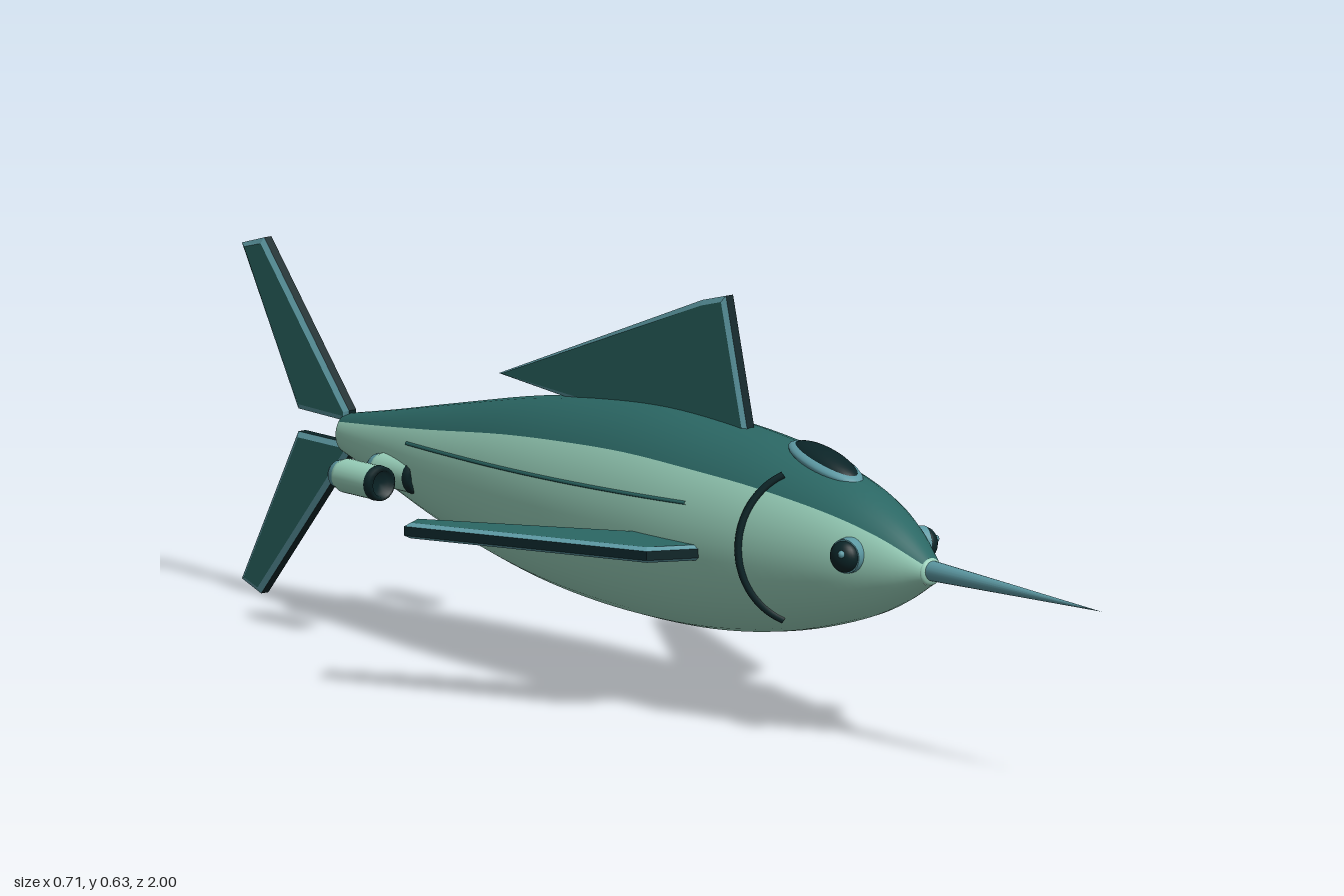
import * as THREE from 'three';

const mat = (name, color, side = THREE.FrontSide) => {
  const m = new THREE.MeshStandardMaterial({ color, side });
  m.name = name;
  return m;
};

export function createModel() {
  const root = new THREE.Group();
  root.name = 'billfishCraft';
  const teal = mat('deepTeal', 0x2b6764);
  const mint = mat('paleMint', 0x98d0ba);
  const blue = mat('steelBlue', 0x5c98a2);
  const black = mat('blackTeal', 0x0b2427);

  const add = (name, geo, material, parent = root) => {
    const m = new THREE.Mesh(geo, material);
    m.name = name;
    parent.add(m);
    return m;
  };

  // Hull stations: z, top y, bottom y, half width
  const stations = [
    [0.6, 0.299, 0.257, 0.021], [0.53, 0.348, 0.217, 0.055], [0.45, 0.384, 0.183, 0.084],
    [0.3, 0.419, 0.141, 0.114], [0.15, 0.434, 0.118, 0.128], [0, 0.438, 0.111, 0.13],
    [-0.15, 0.427, 0.116, 0.124], [-0.3, 0.406, 0.133, 0.109], [-0.5, 0.363, 0.174, 0.077],
    [-0.65, 0.329, 0.216, 0.046], [-0.76, 0.306, 0.246, 0.025],
  ];
  const topCurve = new THREE.CatmullRomCurve3(stations.map(s => new THREE.Vector3(s[3], s[1], s[0])));
  const lowCurve = new THREE.CatmullRomCurve3(stations.map(s => new THREE.Vector3(s[3], s[2], s[0])));
  const section = t => {
    const a = topCurve.getPoint(t), b = lowCurve.getPoint(t);
    return { z: a.z, w: a.x, y: (a.y + b.y) / 2, h: (a.y - b.y) / 2 };
  };
  // Point on the hull skin at a given z and angle
  const skin = (z, angle, lift = 0) => {
    let lo = 0, hi = 1;
    for (let i = 0; i < 24; i++) {
      const mid = (lo + hi) / 2;
      if (section(mid).z > z) lo = mid; else hi = mid;
    }
    const s = section(lo);
    return new THREE.Vector3((s.w + lift) * Math.cos(angle), s.y + (s.h + lift) * Math.sin(angle), z);
  };

  // Hull: smooth loft, dark back and pale flanks
  const rings = 50, segs = 36, pos = [], idx = [];
  for (let i = 0; i <= rings; i++) {
    const s = section(i / rings);
    for (let j = 0; j < segs; j++) {
      const a = THREE.MathUtils.degToRad(40 + j * 10);
      pos.push(s.w * Math.cos(a), s.y + s.h * Math.sin(a), s.z);
    }
  }
  for (let j = 0; j < segs; j++) {
    const k = (j + 1) % segs;
    for (let i = 0; i < rings; i++) {
      const r = i * segs, q = r + segs;
      idx.push(r + j, q + j, r + k, r + k, q + j, q + k);
    }
  }
  const hull = new THREE.BufferGeometry();
  hull.setAttribute('position', new THREE.Float32BufferAttribute(pos, 3));
  hull.setIndex(idx);
  hull.addGroup(0, 10 * rings * 6, 0);
  hull.addGroup(10 * rings * 6, 26 * rings * 6, 1);
  hull.computeVertexNormals();
  add('hull', hull, [teal, mint]);
  const tailCap = add('tailCap', new THREE.CircleGeometry(1, 36), mint);
  tailCap.scale.set(0.025, 0.03, 1);
  tailCap.rotation.y = Math.PI;
  tailCap.position.set(0, 0.276, -0.76);

  // Bill
  const noseCap = add('billCollar', new THREE.SphereGeometry(0.021, 20, 12), mint);
  noseCap.scale.z = 0.4;
  noseCap.position.set(0, 0.278, 0.6);
  const bill = add('bill', new THREE.ConeGeometry(0.016, 0.41, 20), blue);
  bill.rotation.x = Math.PI / 2;
  bill.position.set(0, 0.28, 0.795);

  // Fins: bevelled plates with dark rim, blue bevel and teal faces
  const finGeometry = points => {
    const shape = new THREE.Shape(points.map(p => new THREE.Vector2(p[0], p[1])));
    const geo = new THREE.ExtrudeGeometry(shape, {
      depth: 0.014, bevelEnabled: true, bevelThickness: 0.005,
      bevelSize: 0.008, bevelOffset: -0.008, bevelSegments: 1,
    });
    geo.translate(0, 0, -0.007);
    // The outline is widest at the core, so sort faces by how they tilt
    const sets = [[], [], []], n = geo.attributes.normal;
    for (let i = 0; i < n.count; i += 3) {
      const d = Math.abs(n.getZ(i));
      sets[d > 0.98 ? 0 : d < 0.05 ? 2 : 1].push(i, i + 1, i + 2);
    }
    geo.clearGroups();
    geo.setIndex(sets.flat());
    let start = 0;
    sets.forEach((s, k) => { geo.addGroup(start, s.length, k); start += s.length; });
    return geo;
  };
  const finMats = [teal, blue, black];
  const verticalFin = (name, zy) =>
    add(name, finGeometry(zy.map(([z, y]) => [-z, y])).rotateY(Math.PI / 2), finMats);
  verticalFin('dorsalFin', [[0.185, 0.41], [0.13, 0.627], [0.075, 0.612], [-0.4, 0.425], [-0.2, 0.41]]);
  verticalFin('upperTailFin', [[-0.75, 0.295], [-0.75, 0.312], [-0.948, 0.546], [-1, 0.53], [-0.868, 0.297]]);
  verticalFin('lowerTailFin', [[-0.75, 0.262], [-0.75, 0.245], [-0.955, 0], [-1, 0.016], [-0.868, 0.262]]);

  for (const s of [1, -1]) {
    const side = new THREE.Group();
    side.name = s > 0 ? 'leftSide' : 'rightSide';
    root.add(side);

    // Swept side fin
    const outline = [[0.1, 0.215], [0.196, 0.17], [0.355, -0.206], [0.315, -0.228], [0.1, 0.09]];
    const fin = add('sideFin', finGeometry(outline.map(([x, z]) => [x * s, z])).rotateX(Math.PI / 2), finMats, side);
    fin.position.y = 0.26;

    // Eye: blue socket, black lens, small glint
    const eye = new THREE.Group();
    eye.name = 'eye';
    eye.position.set(s * 0.068, 0.295, 0.49);
    eye.rotation.y = -s * 0.3;
    side.add(eye);
    const socket = add('eyeSocket', new THREE.CylinderGeometry(0.026, 0.028, 0.024, 24), blue, eye);
    socket.rotation.z = -s * Math.PI / 2;
    const lens = add('eyeLens', new THREE.SphereGeometry(0.024, 24, 16), black, eye);
    lens.scale.x = 0.7;
    lens.position.x = s * 0.012;
    const glint = add('eyeGlint', new THREE.SphereGeometry(0.006, 10, 8), blue, eye);
    glint.position.set(s * 0.026, 0.006, 0.004);

    // Gill seam
    const gill = [];
    for (let i = 0; i <= 12; i++) {
      const t = i / 6 - 1, a = t * 0.98;
      gill.push(skin(0.29 + 0.04 * t * t, s > 0 ? a : Math.PI - a, 0.001));
    }
    add('gillSeam', new THREE.TubeGeometry(new THREE.CatmullRomCurve3(gill), 40, 0.006, 8), black, side);

    // Lateral line
    const line = [];
    for (let i = 0; i <= 12; i++) {
      const z = 0.17 - i * 0.06, c = skin(z, 0);
      const a = Math.asin(Math.min(0.6, (0.331 - i * 0.0025 - c.y) / (skin(z, Math.PI / 2).y - c.y)));
      line.push(skin(z, s > 0 ? a : Math.PI - a));
    }
    add('lateralLine', new THREE.TubeGeometry(new THREE.CatmullRomCurve3(line), 40, 0.003, 6), teal, side);

    // Paired thruster pods
    for (const x of [0.05, 0.125]) {
      const pod = new THREE.Group();
      pod.name = 'thrusterPod';
      pod.position.set(s * x, 0.25, -0.585);
      pod.rotation.x = Math.PI / 2;
      side.add(pod);
      const lathe = (name, pts, m) =>
        add(name, new THREE.LatheGeometry(pts.map(p => new THREE.Vector2(p[0], p[1])), 24), m, pod);
      lathe('podShell', [[0.023, -0.038], [0.026, -0.03], [0.026, 0.04]], mint);
      lathe('podTail', [[0, -0.055], [0.016, -0.055], [0.021, -0.048], [0.023, -0.038]], blue);
      lathe('podIntake', [[0.026, 0.04], [0.027, 0.042], [0.026, 0.053], [0.02, 0.056], [0.017, 0.046], [0, 0.046]], black);
    }
  }

  // Canopy with rim
  const canopy = new THREE.Group();
  canopy.name = 'canopy';
  canopy.position.set(0, 0.406, 0.355);
  canopy.rotation.x = 0.25;
  root.add(canopy);
  add('canopyRim', new THREE.SphereGeometry(1, 32, 16), blue, canopy).scale.set(0.035, 0.014, 0.08);
  add('canopyGlass', new THREE.SphereGeometry(1, 32, 16), black, canopy).scale.set(0.03, 0.02, 0.073);

  return root;
}
